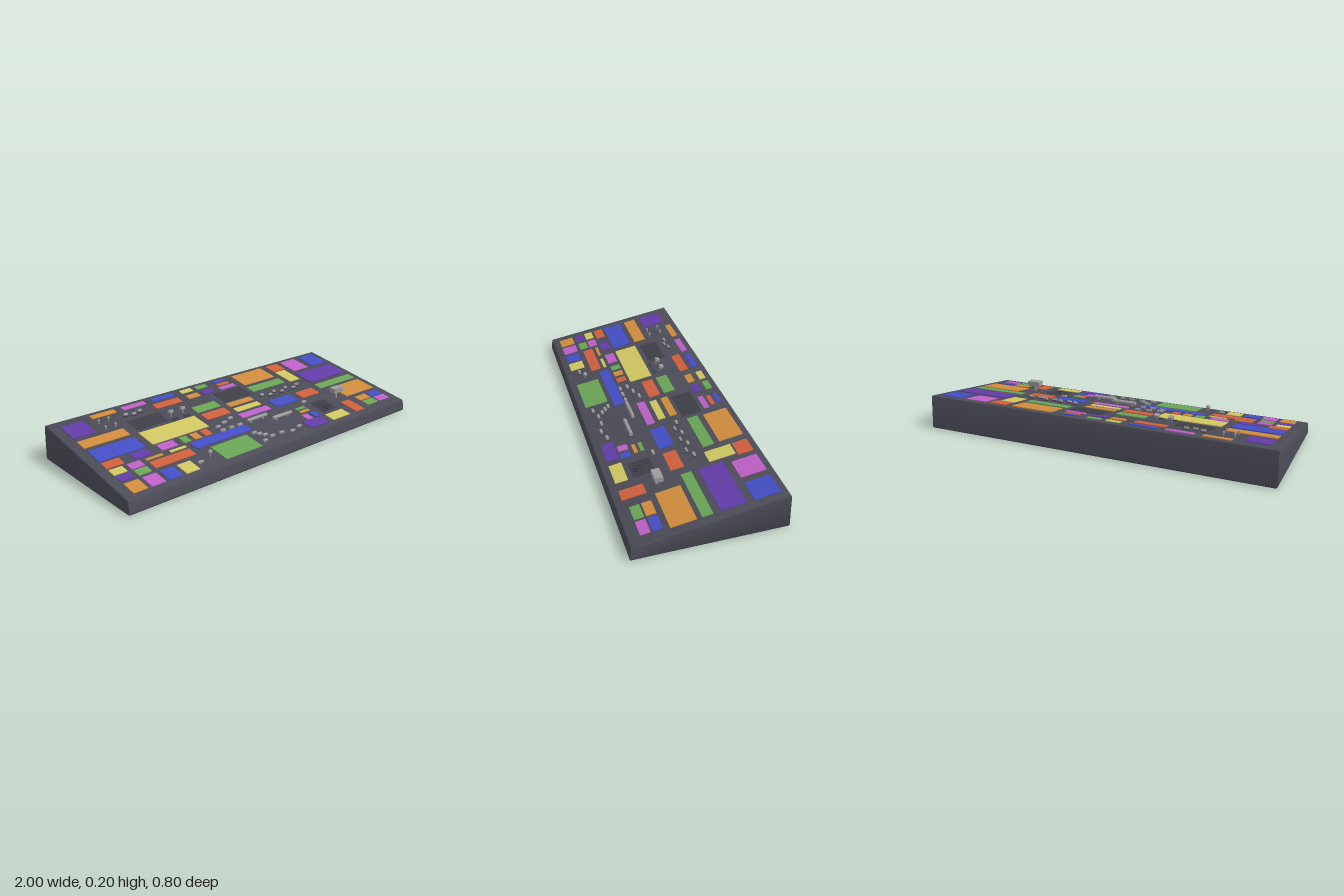
import * as THREE from 'three';
import { toCreasedNormals } from 'three/addons/utils/BufferGeometryUtils.js';

const SLOPE = 0.163;
const TILT = Math.atan(SLOPE);
const topY = (z) => 0.136 - SLOPE * z;

const mat = (color) => new THREE.MeshStandardMaterial({ color });
const grey = mat(0x9c9c9c);
const shellMat = new THREE.MeshStandardMaterial({ color: 0x4c4c58, side: THREE.DoubleSide });
const panelMat = mat(0x3e3e47);
const COLORS = {
  O: mat(0xd08c3c), M: mat(0xbd60c6), B: mat(0x444ec4), Y: mat(0xd0c662),
  G: mat(0x6aa456), R: mat(0xd0603e), P: mat(0x623ca8),
};

// Open-bottomed sloping case, built from stacked rectangular rings
function makeCase() {
  const rings = [[0.006, 0.003], [0, 0.01], [0.007, 0.01, true], [0.01, 0.003, true], [0.017, 0, true]];
  const corners = rings.map(([inset, h, atTop]) =>
    [[1, 1], [1, -1], [-1, -1], [-1, 1]].map(([sx, sz]) => {
      const z = sz * (0.398 - inset);
      return [sx * (1 - inset * 0.6), atTop ? topY(z) - h : h, z];
    }));
  const pos = [];
  const quad = (a, b, c, d) => pos.push(...a, ...b, ...c, ...a, ...c, ...d);
  for (let r = 0; r < corners.length - 1; r++) {
    for (let i = 0; i < 4; i++) {
      const j = (i + 1) % 4;
      quad(corners[r][i], corners[r][j], corners[r + 1][j], corners[r + 1][i]);
    }
  }
  quad(...corners[corners.length - 1]);
  const geo = new THREE.BufferGeometry();
  geo.setAttribute('position', new THREE.Float32BufferAttribute(pos, 3));
  const mesh = new THREE.Mesh(toCreasedNormals(geo, 0.5), shellMat);
  mesh.name = 'consoleCase';
  return mesh;
}

export function createModel() {
  const model = new THREE.Group();
  model.name = 'controlConsole';
  model.add(makeCase());

  const add = (name, geo, material, x, y, z, parent) => {
    const mesh = new THREE.Mesh(geo, material);
    mesh.name = name;
    mesh.position.set(x, y, z);
    parent.add(mesh);
    return mesh;
  };

  // Group standing on the sloping face; lean turns it about x
  const mount = (name, x, z, lean = TILT) => {
    const g = new THREE.Group();
    g.name = name;
    g.position.set(x, topY(z), z);
    g.rotation.x = lean;
    model.add(g);
    return g;
  };

  // Flat plate lying on the face, from its back left corner, in hundredths
  const plate = (name, material, x, z, w, d, thick) => {
    const g = mount(name, (x + w / 2) / 100, (z + d / 2) / 100);
    add(name + 'Plate', new THREE.BoxGeometry(w / 100, thick, d / 100 / Math.cos(TILT)),
      material, 0, thick / 2 - 0.0005, 0, g);
    return g;
  };

  // Run of equal buttons, one per colour letter, stepping by dx, dz
  const run = (letters, x, z, w, d, dx = 0, dz = 0) => [...letters].forEach((c, i) =>
    plate('button', COLORS[c], x + i * dx, z + i * dz, w, d, 0.005));

  // Back rows
  run('OMB', -75.5, -35.5, 15, 3.5, 19.5);
  run('YG', -16, -35.5, 8, 3.5, 11);
  run('OP', -16, -29, 8, 4, 11);
  run('R', -39, -29.5, 17.5, 5);
  run('BR', 9, -35.5, 8.5, 2.3, 0, 3.7);
  run('M', 7.5, -28, 11.5, 3);
  run('O', 24, -35.5, 24.5, 13);
  run('R', 53, -35.5, 9.5, 8);
  run('MB', 66, -35.5, 12.5, 13.3, 16.7);
  run('P', -94, -32.5, 13, 13);
  run('Y', 53, -26.5, 8, 14);
  run('G', 23, -19.5, 26, 6);
  run('P', 64, -18.5, 31, 13);
  // Middle rows
  run('O', -94, -16, 27, 7);
  run('B', -94, -6, 27, 11);
  run('Y', -62.5, -8, 36.5, 13);
  run('GR', -22, -16, 16.5, 6.5, 0, 8.8);
  run('OY', -1.5, -10, 18, 4, 0, 6.5);
  run('M', -3.5, 3, 21.5, 4.5);
  run('B', 23, -0.5, 17, 8);
  run('R', 44.5, 0, 14, 7);
  run('G', 63.5, -2, 31.5, 5.5);
  run('O', 70.5, 6, 24.5, 13);
  run('RPM', -94, 6.5, 10, 5.5, 16.2);
  run('GOR', -47.5, 6.5, 4.5, 5.5, 7);
  // Front rows
  run('YM', -94, 13.5, 7.5, 5, 10);
  run('PG', -94, 19.5, 7.5, 5, 10);
  run('OY', -73.5, 14, 10, 1.7, 14.5);
  run('R', -73.5, 17.5, 24.5, 6);
  run('B', -45.5, 13.5, 38, 6);
  run('OMBY', -94, 26.5, 8, 8.5, 10.2);
  run('G', -38.5, 22, 24.5, 13);
  run('GO', 30, 14.5, 7, 2, 0, 3.5);
  run('MB', 28, 22, 4.3, 5.3, 6.2);
  run('PY', 23, 28.3, 14, 6.7, 18);
  run('R', 61, 22.5, 7, 12.5);
  run('OB', 74, 22, 9, 5, 10.5);
  run('GM', 74, 28, 9, 5, 10.5);

  // Dark panels
  plate('darkPanel', panelMat, -61, -21, 20, 10, 0.002);
  plate('darkPanel', panelMat, 0, -23, 20, 11, 0.002);

  // Dial on its own panel
  const dial = plate('dialPanel', panelMat, 43.5, 14, 11, 11.5, 0.003);
  const ring = add('dialRing', new THREE.TorusGeometry(0.024, 0.005, 8, 28), panelMat, 0, 0.004, 0.02, dial);
  ring.rotation.x = Math.PI / 2;
  add('dialKnob', new THREE.CylinderGeometry(0.01, 0.012, 0.012, 20), panelMat, 0, 0.006, 0.02, dial);

  // Small toggle switches: base and leaning cap
  const toggle = (x, z, lean) => {
    const g = mount('toggleSwitch', x, z);
    add('toggleBase', new THREE.BoxGeometry(0.026, 0.012, 0.014), panelMat, 0, 0, 0, g);
    const cap = add('toggleCap', new THREE.BoxGeometry(0.024, 0.012, 0.012), grey, 0, 0.011, 0, g);
    cap.rotation.x = lean;
  };
  for (let i = 0; i < 7; i++) toggle(0.24 + i * 0.048, i % 2 ? -0.05 : -0.073, i % 2 ? 0.25 : -0.25);
  for (let i = 0; i < 3; i++) toggle(-0.585 + i * 0.045, i % 2 ? -0.25 : -0.263, 0.2);

  // Low rocker keys
  const rocker = (x, z) => add('rockerBody', new THREE.BoxGeometry(0.03, 0.018, 0.014), grey, 0, 0.001, 0,
    mount('rockerKey', x, z));
  for (let i = 0; i < 3; i++) {
    rocker(-0.22 + i * 0.06, 0.08 - i * 0.02);
    rocker(-0.22 + i * 0.06, 0.122);
    rocker(-0.09 + i * 0.02, 0.228 + i * 0.022);
  }
  for (let i = 0; i < 5; i++) rocker(-0.09 + i * 0.068, i % 3 ? 0.3 : 0.317);
  rocker(-0.515, 0.305);
  rocker(0.41, 0.11);

  // Peg knobs
  for (const x of [-0.75, -0.69]) {
    for (const z of [-0.265, -0.195]) {
      const g = mount('pegKnob', x, z, 0);
      add('pegStem', new THREE.CylinderGeometry(0.003, 0.003, 0.024, 10), grey, 0, 0.006, 0, g);
      add('pegCap', new THREE.CylinderGeometry(0.007, 0.007, 0.006, 16), grey, 0, 0.02, 0, g);
    }
  }

  // Tilted paddle levers with low blocks in front
  for (const x of [-0.37, -0.29]) {
    const g = mount('paddleLever', x, -0.14, -0.3);
    add('paddleStem', new THREE.CylinderGeometry(0.003, 0.003, 0.03, 10), grey, 0, 0.009, 0, g);
    add('paddleHead', new THREE.BoxGeometry(0.024, 0.016, 0.024), grey, 0, 0.029, 0, g);
    const b = mount('paddleBlock', x, -0.105);
    add('paddleBlockBody', new THREE.BoxGeometry(0.04, 0.008, 0.012), panelMat, 0, 0.002, 0, b);
  }

  // Horizontal grab bars on posts
  for (const [x, z] of [[0.02, 0.13], [0.165, 0.18]]) {
    const g = mount('grabBar', x, z, 0);
    const bar = add('barGrip', new THREE.CylinderGeometry(0.01, 0.01, 0.14, 20), grey, 0, 0.018, 0, g);
    bar.rotation.z = Math.PI / 2;
    for (const px of [-0.045, 0.045]) {
      add('barPost', new THREE.CylinderGeometry(0.006, 0.006, 0.03, 12), grey, px, 0.004, 0, g);
    }
  }

  // Block-headed throttle lever
  const throttle = mount('throttleLever', 0.638, 0.16, 0);
  add('throttleStem', new THREE.CylinderGeometry(0.006, 0.006, 0.06, 14), grey, 0, 0.02, 0, throttle);
  add('throttleHead', new THREE.BoxGeometry(0.075, 0.028, 0.044), grey, 0, 0.051, 0, throttle);

  // Ball-topped stick
  const stick = mount('ballStick', -0.44, 0.287, 0);
  add('stickStem', new THREE.CylinderGeometry(0.003, 0.003, 0.034, 10), grey, 0, 0.009, 0, stick);
  add('stickBall', new THREE.SphereGeometry(0.0125, 20, 14), grey, 0, 0.028, 0, stick);

  return model;
}
